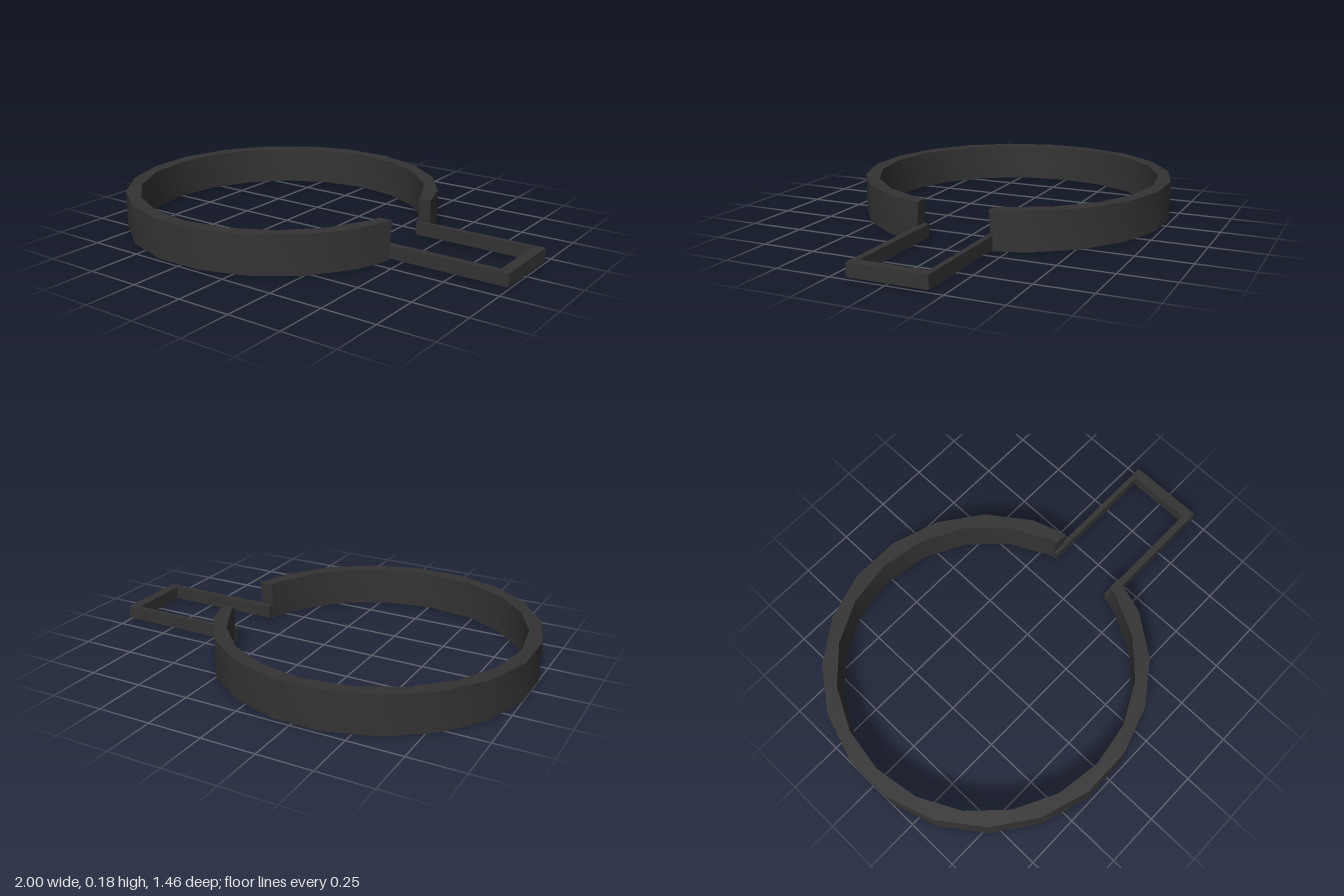
import * as THREE from 'three';
import { toCreasedNormals } from 'three/addons/utils/BufferGeometryUtils.js';

const CENTER = -0.27, HEIGHT = 0.18;
const FRONT_CUT = 0.16, BACK_CUT = -0.172;

// Open 20-sided band: inner corners sit halfway between the outer ones
function bandGeometry() {
  const at = (r, deg) => {
    const a = THREE.MathUtils.degToRad(deg);
    return new THREE.Vector2(CENTER + r * Math.cos(a), r * Math.sin(a));
  };
  const pts = [new THREE.Vector2(0.445, FRONT_CUT)];
  for (let d = 27; d <= 333; d += 18) pts.push(at(0.739, d));
  pts.push(new THREE.Vector2(0.442, BACK_CUT), new THREE.Vector2(0.38, BACK_CUT));
  for (let d = 342; d >= 18; d -= 18) pts.push(at(0.675, d));
  pts.push(new THREE.Vector2(0.381, FRONT_CUT));

  const geo = new THREE.ExtrudeGeometry(new THREE.Shape(pts), { depth: HEIGHT, bevelEnabled: false });
  geo.rotateX(Math.PI / 2).translate(0, HEIGHT, 0);

  // The cut ends lean, so the gap is a little wider at the bottom
  const p = geo.attributes.position;
  for (let i = 0; i < p.count; i++) {
    const z = p.getZ(i);
    if (p.getX(i) > 0.37 && Math.abs(z) < 0.19 && p.getY(i) < 0.09) {
      p.setX(i, p.getX(i) - 0.003);
      p.setZ(i, z + Math.sign(z) * 0.013);
    }
  }
  return toCreasedNormals(geo, 0.6);
}

export function createModel() {
  const model = new THREE.Group();
  model.name = 'ringWithHandle';
  const black = new THREE.MeshStandardMaterial({ name: 'charcoal', color: 0x333333 });

  const add = (name, geometry) => {
    const mesh = new THREE.Mesh(geometry, black);
    mesh.name = name;
    model.add(mesh);
  };
  const bar = (name, x0, x1, z0, z1) => {
    const geo = new THREE.BoxGeometry(x1 - x0, 0.06, z1 - z0);
    add(name, geo.translate((x0 + x1) / 2, 0.04, (z0 + z1) / 2));
  };

  add('ringBand', bandGeometry());

  // Rectangular handle loop, open toward the ring
  bar('backRail', 0.375, 0.95, -0.188, -0.163);
  bar('frontRail', 0.385, 0.95, 0.14, 0.173);
  bar('handleEnd', 0.95, 1, -0.188, 0.173);

  return model;
}
